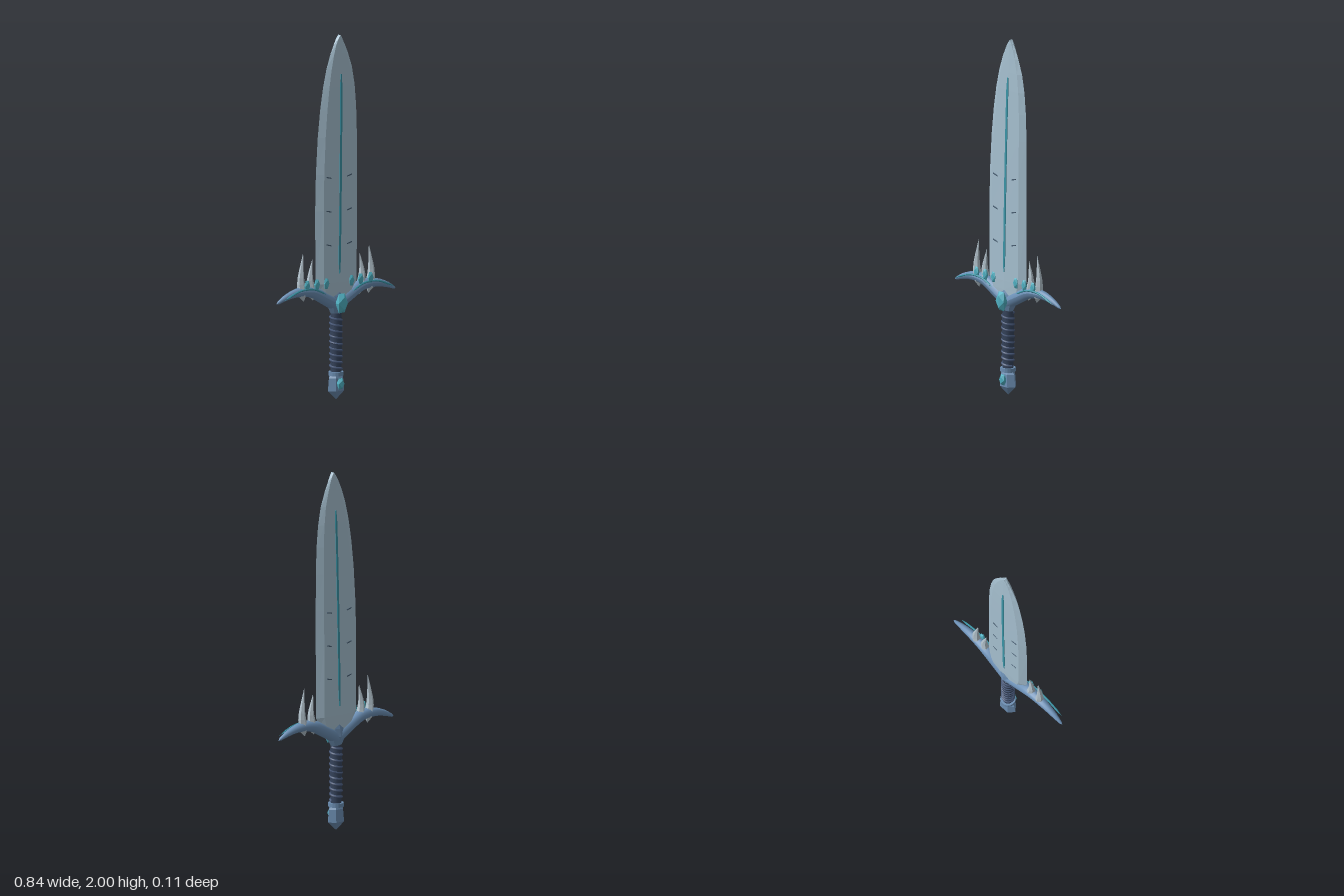
import * as THREE from 'three';

const ZC = -0.018; // depth of the sword's middle plane
const mat = (name, color, flat = true) => {
  const m = new THREE.MeshStandardMaterial({ color, flatShading: flat });
  m.name = name;
  return m;
};
const V = (x, y, z = ZC) => new THREE.Vector3(x, y, z);

// Closed loft through rings listed bottom to top, each counterclockwise from above
function loft(rings) {
  const n = rings[0].length, pos = [], idx = [];
  rings.forEach(r => r.forEach(p => pos.push(p.x, p.y, p.z)));
  for (let i = 0; i < rings.length - 1; i++)
    for (let j = 0; j < n; j++) {
      const a = i * n + j, b = i * n + (j + 1) % n;
      idx.push(a, b, b + n, a, b + n, a + n);
    }
  const top = (rings.length - 1) * n;
  for (let j = 1; j < n - 1; j++) idx.push(0, j + 1, j, top, top + j, top + j + 1);
  const g = new THREE.BufferGeometry();
  g.setAttribute('position', new THREE.Float32BufferAttribute(pos, 3));
  g.setIndex(idx);
  const flat = g.toNonIndexed();
  flat.computeVertexNormals();
  return flat;
}

// Tube whose radius follows a rule along the curve
function taperTube(points, segs, sides, radius) {
  const curve = new THREE.CatmullRomCurve3(points);
  const g = new THREE.TubeGeometry(curve, segs, 1, sides);
  const p = g.attributes.position, v = new THREE.Vector3();
  for (let i = 0; i <= segs; i++) {
    const c = curve.getPointAt(i / segs), r = radius(i / segs);
    for (let j = 0; j <= sides; j++) {
      const k = i * (sides + 1) + j;
      v.fromBufferAttribute(p, k).sub(c).multiplyScalar(r).add(c);
      p.setXYZ(k, v.x, v.y, v.z);
    }
  }
  g.computeVertexNormals();
  return g;
}

// Interpolate a list of [t, value] stops
function stops(list, t) {
  for (let i = 1; i < list.length; i++)
    if (t <= list[i][0]) {
      const [a, va] = list[i - 1], [b, vb] = list[i];
      return va + (vb - va) * Math.max(0, (t - a) / (b - a));
    }
  return list[list.length - 1][1];
}

export function createModel() {
  const group = new THREE.Group();
  const steel = mat('bladeSteel', 0xa6c0d0);
  const blue = mat('guardBlue', 0x6c90b6, false);
  const blueFlat = mat('pommelBlue', 0x6a8cb0);
  const teal = mat('gemTeal', 0x4fb0c2);
  const vein = mat('veinTeal', 0x3a94a6);
  const bone = mat('spikeGrey', 0xb4c4ce);
  const navy = mat('gripNavy', 0x34425a, false);
  const wrapMat = mat('wrapSlate', 0x48597a, false);
  const dark = mat('markDark', 0x4a6074);
  const add = (name, geo, material, x = 0, y = 0, z = 0) => {
    const m = new THREE.Mesh(geo, material);
    m.name = name;
    m.position.set(x, y, z);
    group.add(m);
    return m;
  };

  // Blade: bevelled section, leaning slightly to a chisel tip
  const profile = [ // y, left x, right x, half thickness
    [0.52, -0.04, 0.04, 0.027], [0.6, -0.125, 0.125, 0.028], [0.65, -0.145, 0.145, 0.029],
    [1.05, -0.147, 0.148, 0.028], [1.25, -0.142, 0.148, 0.027], [1.45, -0.129, 0.147, 0.025],
    [1.6, -0.112, 0.142, 0.023], [1.72, -0.092, 0.131, 0.021], [1.82, -0.068, 0.112, 0.018],
    [1.9, -0.04, 0.083, 0.015], [1.95, -0.017, 0.06, 0.013], [1.98, 0.002, 0.043, 0.012],
    [2.0, 0.021, 0.027, 0.011]];
  add('blade', loft(profile.map(([y, l, r, t]) => {
    const c = (l + r) / 2, w = (r - l) / 2, s = 0.72;
    return [[1, 0], [s, -0.85], [0, -1], [-s, -0.85], [-1, 0], [-s, 0.85], [0, 1], [s, 0.85]]
      .map(([u, k]) => V(c + u * w, y, ZC + k * t));
  })), steel);

  // Glowing vein showing on both faces
  const thickness = profile.map(p => [p[0], p[3]]);
  add('bladeVein', loft([0.7, 0.78, 1.05, 1.25, 1.45, 1.6, 1.72, 1.79].map((y, i) => {
    const x = 0.018 * (y - 0.7), w = i === 0 || i === 7 ? 0.003 : 0.007;
    const t = stops(thickness, y) + 0.003;
    return [V(x + w, y, ZC + t), V(x + w, y, ZC - t), V(x - w, y, ZC - t), V(x - w, y, ZC + t)];
  })), vein);

  // Short scratches on both faces
  for (const s of [-1, 1])
    for (const y of [0.86, 1.045, 1.23])
      for (const f of [-1, 1]) {
        const m = add('bladeMark', new THREE.BoxGeometry(0.034, 0.006, 0.008), dark,
          s * 0.072, y, ZC + f * 0.0235);
        m.rotation.z = s * 0.25;
      }

  for (const s of [-1, 1]) {
    // Curved guard arm and its inlay
    add('guardArm', taperTube([V(0, 0.525), V(s * 0.085, 0.57), V(s * 0.175, 0.612),
      V(s * 0.27, 0.618), V(s * 0.35, 0.6), V(s * 0.42, 0.57)], 28, 14,
    t => stops([[0, 0.038], [0.4, 0.033], [0.65, 0.025], [0.85, 0.016], [0.97, 0.008], [1, 0.0005]], t)), blue);
    add('guardInlay', taperTube([V(s * 0.08, 0.585, 0.01), V(s * 0.175, 0.628, 0.01),
      V(s * 0.27, 0.63, 0.01), V(s * 0.385, 0.59, 0.01)], 16, 6,
    t => 0.005 * Math.min(1, 8 * t, 8 * (1 - t)) + 0.0005), vein);

    // Horn-like spikes pushed through the guard
    for (const [x, tip] of [[0.24, 0.83], [0.175, 0.79]])
      add('guardSpike', taperTube([V(s * (x - 0.012), 0.565), V(s * x, 0.62),
        V(s * (x + 0.008), 0.68), V(s * (x - 0.008), tip)], 8, 6,
      t => stops([[0, 0.001], [0.06, 0.02], [0.25, 0.025], [0.5, 0.018], [1, 0.0005]], t)), bone);

    // Small gems along the arm
    for (const x of [0.088, 0.154, 0.223]) {
      const gem = add('guardGem', new THREE.IcosahedronGeometry(1, 0), teal, s * x, 0.652, 0.006);
      gem.scale.set(0.019, 0.035, 0.012);
    }
  }

  // Faceted hub and central gem
  const hub = add('guardHub', new THREE.LatheGeometry(
    [[0, 0.47], [0.036, 0.48], [0.062, 0.53], [0.052, 0.575], [0.026, 0.635], [0, 0.645]]
      .map(p => new THREE.Vector2(...p)), 8), blueFlat, 0, 0, ZC);
  hub.scale.z = 0.66;
  const heart = add('centralGem', new THREE.IcosahedronGeometry(1, 0), teal, 0, 0.538, 0.03);
  heart.scale.set(0.038, 0.062, 0.027);

  // Grip with spiral wrap
  add('grip', new THREE.LatheGeometry([[0.03, 0.15], [0.031, 0.22], [0.034, 0.32], [0.033, 0.42], [0.03, 0.48]]
    .map(p => new THREE.Vector2(...p)), 16), navy, 0, 0, ZC);
  const helix = [];
  for (let i = 0; i <= 108; i++) {
    const a = i / 12 * Math.PI * 2;
    helix.push(V(Math.cos(a) * 0.031, 0.17 + 0.3 * i / 108, ZC + Math.sin(a) * 0.031));
  }
  add('gripWrap', taperTube(helix, 180, 6, () => 0.007), wrapMat);

  // Collar, pommel and pommel gem
  add('collar', new THREE.CylinderGeometry(0.042, 0.042, 0.022, 16), blueFlat, 0, 0.148, ZC);
  const pommel = add('pommel', new THREE.LatheGeometry(
    [[0, 0.005], [0.057, 0.055], [0.05, 0.125], [0.036, 0.142], [0, 0.142]]
      .map(p => new THREE.Vector2(...p)), 6, Math.PI / 6), blueFlat, 0, 0, ZC);
  pommel.scale.z = 0.68;
  const drop = add('pommelGem', new THREE.IcosahedronGeometry(1, 0), teal, 0, 0.095, 0.02);
  drop.scale.set(0.023, 0.035, 0.02);

  return group;
}
